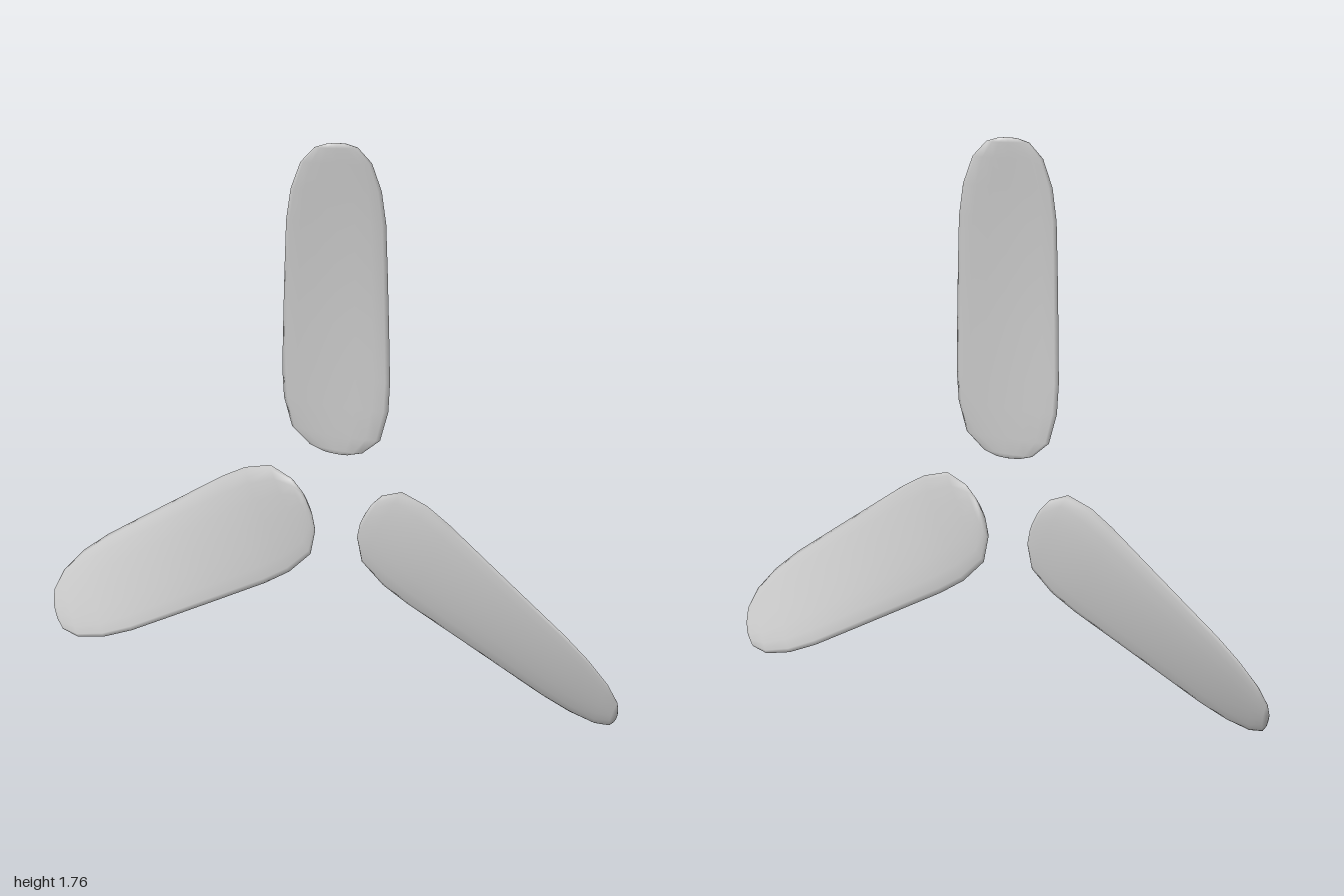
import * as THREE from 'three';

const HUB_Y = 0.625;
const SIDES = 16;

// Blade stations: distance from hub, half width seen from the front, half thickness
const STATIONS = [
  [0.118, 0, 0], [0.122, 0.045, 0.010], [0.135, 0.09, 0.013], [0.185, 0.15, 0.016],
  [0.28, 0.174, 0.017], [0.375, 0.176, 0.017], [0.55, 0.166, 0.016], [0.72, 0.156, 0.015],
  [0.88, 0.146, 0.014], [0.985, 0.13, 0.013], [1.075, 0.10, 0.012], [1.125, 0.06, 0.010],
  [1.136, 0.03, 0.007], [1.14, 0, 0],
];

// Twisted blade lofted from rounded sections, pointing up from the hub
function bladeGeometry() {
  const positions = [], index = [];
  STATIONS.forEach(([r, halfWidth, thick], i) => {
    const twist = THREE.MathUtils.degToRad(1.5 + 25 * (r - 0.12));
    const c = Math.cos(twist), s = Math.sin(twist);
    const chord = halfWidth / c;
    for (let j = 0; j < SIDES; j++) {
      const a = (j / SIDES) * Math.PI * 2;
      const x = chord * Math.cos(a);
      const z = thick * Math.sin(a) * (1 + 0.25 * Math.cos(a));
      positions.push(x * c + z * s, r, z * c - x * s);
      if (i === STATIONS.length - 1) continue;
      const k = (j + 1) % SIDES;
      const p = i * SIDES + j, q = i * SIDES + k;
      if (i < STATIONS.length - 2) index.push(p, p + SIDES, q + SIDES);
      else index.push(p, p + SIDES, q);
      if (i > 0 && i < STATIONS.length - 2) index.push(p, q + SIDES, q);
    }
  });
  const geometry = new THREE.BufferGeometry();
  geometry.setAttribute('position', new THREE.Float32BufferAttribute(positions, 3));
  geometry.setIndex(index);
  geometry.computeVertexNormals();
  return geometry;
}

export function createModel() {
  const group = new THREE.Group();
  group.name = 'propellerBlades';
  const material = new THREE.MeshStandardMaterial({ color: 0xcccccc });
  const geometry = bladeGeometry();
  // Three equal blades around the hub axis
  ['topBlade', 'rightBlade', 'leftBlade'].forEach((name, i) => {
    const blade = new THREE.Mesh(geometry, material);
    blade.name = name;
    blade.position.y = HUB_Y;
    blade.rotation.z = (i * Math.PI * 2) / 3;
    group.add(blade);
  });
  return group;
}
